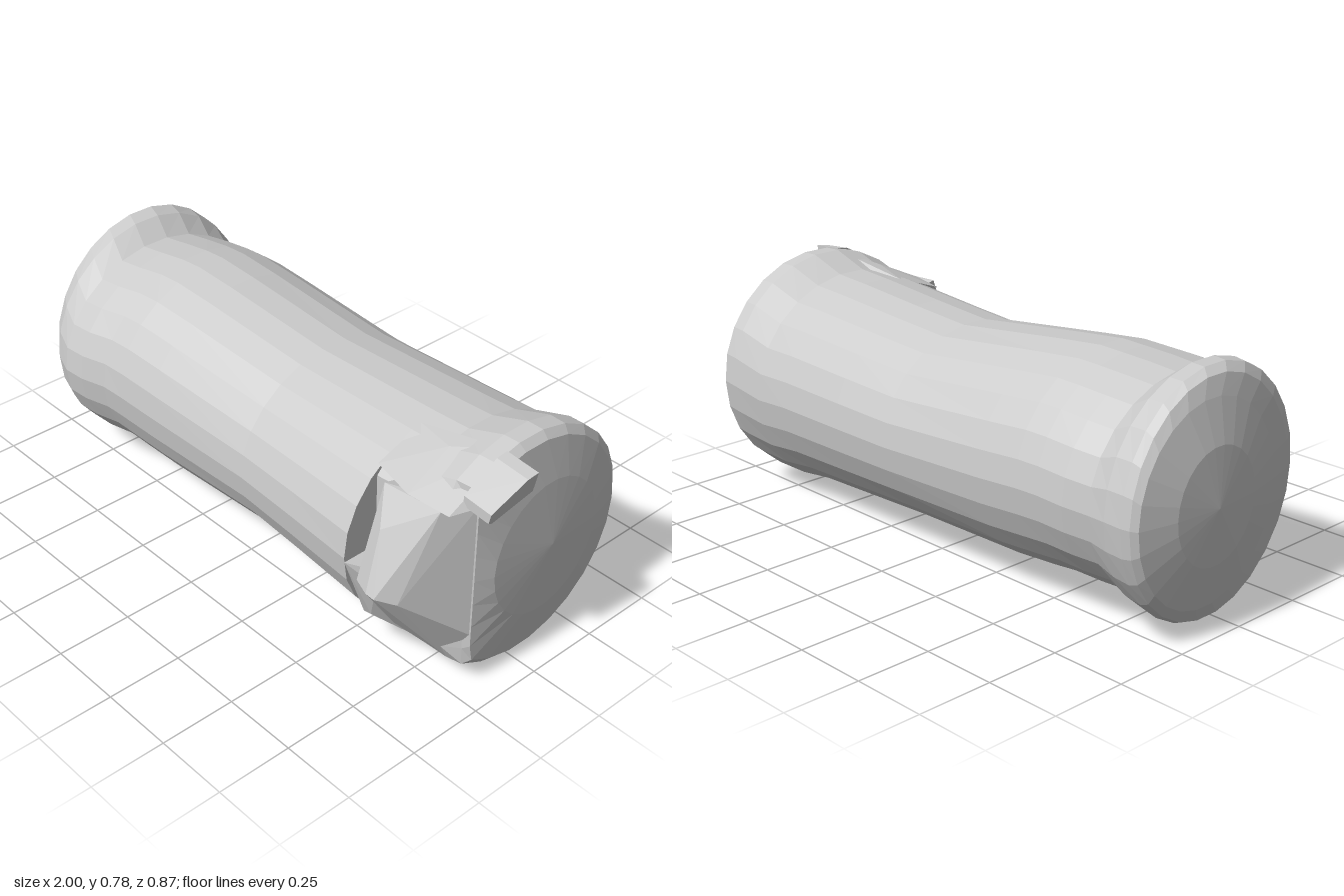
import * as THREE from 'three';
import { ConvexGeometry } from 'three/addons/geometries/ConvexGeometry.js';

const SIDES = 26;
const material = new THREE.MeshStandardMaterial({ color: 0xcccccc, flatShading: true });

// Closed faceted skin through oval rings [x, yMin, yMax, zMin, zMax, zCut]; zCut slices the front flat
function loft(name, rings, startTip, endTip) {
  const pos = [], index = [];
  const centre = ([x, y0, y1, z0, z1]) => [x, (y0 + y1) / 2, (z0 + z1) / 2];
  for (const [x, y0, y1, z0, z1, cut = 9] of rings) {
    for (let j = 0; j < SIDES; j++) {
      const a = (j / SIDES) * Math.PI * 2;
      pos.push(x, (y0 + y1) / 2 + Math.sin(a) * (y1 - y0) / 2,
        Math.min(cut, (z0 + z1) / 2 + Math.cos(a) * (z1 - z0) / 2));
    }
  }
  const last = (rings.length - 1) * SIDES, tip = rings.length * SIDES;
  pos.push(...(startTip || centre(rings[0])), ...(endTip || centre(rings[rings.length - 1])));
  for (let j = 0; j < SIDES; j++) {
    const k = (j + 1) % SIDES;
    for (let i = 0; i < last; i += SIDES) {
      index.push(i + j, i + SIDES + j, i + k, i + k, i + SIDES + j, i + SIDES + k);
    }
    index.push(tip, j, k, tip + 1, last + k, last + j);
  }
  const geometry = new THREE.BufferGeometry();
  geometry.setAttribute('position', new THREE.Float32BufferAttribute(pos, 3));
  geometry.setIndex(index);
  return part(name, geometry.toNonIndexed());
}

function part(name, geometry) {
  geometry.computeVertexNormals();
  const mesh = new THREE.Mesh(geometry, material);
  mesh.name = name;
  return mesh;
}

const hull = (name, points) =>
  part(name, new ConvexGeometry(points.map((p) => new THREE.Vector3(...p))));

export function createModel() {
  const group = new THREE.Group();
  group.name = 'barrel';

  // Flared foot with a shallow domed end
  group.add(loft('footFlare', [
    [-0.985, 0.22, 0.58, -0.27, 0.06],
    [-0.95, 0.08, 0.71, -0.39, 0.19],
    [-0.93, 0.03, 0.765, -0.405, 0.28],
    [-0.9, 0.01, 0.785, -0.41, 0.335],
    [-0.84, 0.018, 0.78, -0.41, 0.375],
    [-0.767, 0.05, 0.732, -0.395, 0.4],
  ], [-1, 0.4, -0.11]));

  // Body sections, butted end to end
  group.add(loft('footBand', [
    [-0.767, 0.05, 0.732, -0.395, 0.4],
    [-0.68, 0.052, 0.742, -0.41, 0.4],
    [-0.582, 0.056, 0.751, -0.415, 0.38],
  ]));
  group.add(loft('lowerBody', [
    [-0.582, 0.056, 0.751, -0.415, 0.38],
    [-0.5, 0.048, 0.755, -0.417, 0.375],
    [-0.35, 0.04, 0.742, -0.42, 0.365],
    [0.067, 0.045, 0.698, -0.425, 0.34],
  ]));
  group.add(loft('upperBody', [
    [0.067, 0.045, 0.698, -0.425, 0.34],
    [0.3, 0.034, 0.712, -0.428, 0.355],
    [0.57, 0.02, 0.73, -0.43, 0.375],
  ]));

  // Mouth collar: rounded rim, nearly flat end, front sliced behind the wedge
  group.add(loft('mouthCollar', [
    [0.57, 0.02, 0.73, -0.43, 0.375, 0.25],
    [0.7, 0.002, 0.738, -0.434, 0.38, 0.24],
    [0.83, 0, 0.783, -0.44, 0.38, 0.235],
    [0.885, 0.006, 0.782, -0.435, 0.37, 0.2],
    [0.908, 0.03, 0.76, -0.405, 0.34, 0.19],
    [0.93, 0.16, 0.62, -0.3, 0.13],
  ], null, [0.945, 0.4, -0.1]));

  // Pointed wedge on the front of the collar
  group.add(hull('frontWedge', [
    [0.906, 0.655, 0.195], [0.906, 0.2, 0.195], [0.83, 0.08, 0.21], [0.65, 0.655, 0.3],
    [0.85, 0.655, 0.28], [0.65, 0.36, 0.4], [0.72, 0.37, 0.432], [0.75, 0.365, 0.43],
    [0.8, 0.35, 0.385], [0.74, 0.22, 0.335], [0.7, 0.55, 0.362], [0.65, 0.6, 0.1],
    [0.65, 0.3, 0.1],
  ]));

  // Filler beneath the notch, between body and wedge
  group.add(hull('lowerFiller', [
    [0.57, 0.36, 0.374], [0.645, 0.39, 0.375], [0.62, 0.16, 0.31], [0.57, 0.13, 0.29],
    [0.72, 0.12, 0.25], [0.7, 0.35, 0.37], [0.57, 0.08, 0.2], [0.57, 0.36, 0.2],
    [0.72, 0.36, 0.2],
  ]));

  // Upper lip ledge overhanging the wedge
  group.add(hull('lipLedge', [
    [0.572, 0.655, 0.25], [0.88, 0.655, 0.28], [0.72, 0.73, 0.12], [0.88, 0.77, 0.05],
    [0.91, 0.66, 0.2], [0.73, 0.655, 0.29], [0.572, 0.715, 0.08], [0.9, 0.66, 0],
    [0.6, 0.655, 0],
  ]));

  // Slanted tab sticking out of the mouth
  const profile = [[0.77, 0.06], [0.7, 0.06], [0.66, 0.21], [0.667, 0.225], [0.7, 0.225], [0.765, 0.1]];
  const tab = [];
  for (const [y, z] of profile) {
    tab.push([0.88, y, z], [0.997 - (0.77 - y) * 0.22, y - 0.01, z]);
  }
  group.add(hull('mouthTab', tab));

  return group;
}
